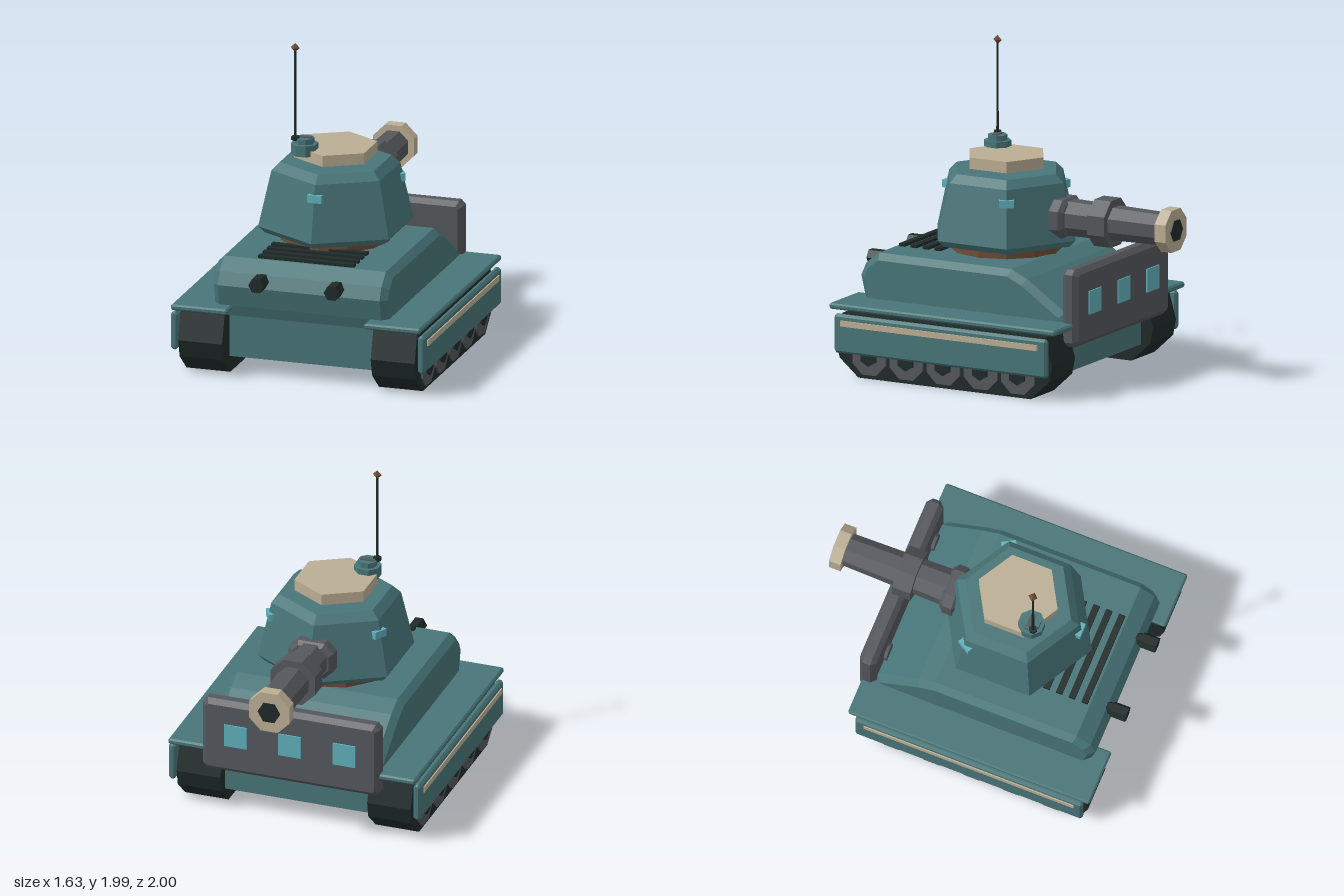
import * as THREE from 'three';

const mat = (name, color) => Object.assign(new THREE.MeshStandardMaterial({ color, flatShading: true }), { name });

export function createModel() {
  const teal = mat('teal armour', 0x487578);
  const gray = mat('gunmetal', 0x54575c);
  const dark = mat('dark rubber', 0x1f2a29);
  const cream = mat('cream trim', 0xbcae94);
  const brown = mat('brown', 0x6e4c37);
  const cyan = mat('cyan glass', 0x5fb0ba);
  const model = new THREE.Group();
  model.name = 'tank';

  const add = (name, geo, material, x = 0, y = 0, z = 0) => {
    const m = new THREE.Mesh(geo, material);
    m.name = name;
    m.position.set(x, y, z);
    model.add(m);
    return m;
  };
  const box = (w, h, d) => new THREE.BoxGeometry(w, h, d);

  // Side profile of [z, y] points, extruded across x with one chamfer
  const sideExtrude = (pts, width, bevel) => {
    const g = new THREE.ExtrudeGeometry(new THREE.Shape(pts.map(p => new THREE.Vector2(...p))), {
      depth: width - 2 * bevel, bevelEnabled: bevel > 0, bevelSegments: 1,
      bevelSize: bevel, bevelThickness: bevel, bevelOffset: -bevel,
    });
    return g.translate(0, 0, -width / 2 + bevel).rotateY(-Math.PI / 2);
  };
  // Box with chamfered edges: corner cut c in the front outline, bevel b on the faces
  const chamferBox = (w, h, d, c, b) => {
    const x = w / 2, y = h / 2;
    const pts = [[-x + c, -y], [x - c, -y], [x, -y + c], [x, y - c], [x - c, y], [-x + c, y], [-x, y - c], [-x, -y + c]];
    return new THREE.ExtrudeGeometry(new THREE.Shape(pts.map(p => new THREE.Vector2(...p))), {
      depth: d - 2 * b, bevelSegments: 1, bevelSize: b, bevelThickness: b, bevelOffset: -b,
    }).translate(0, 0, -d / 2 + b);
  };
  // Prism with sides turned by "turn", then laid along x, y or z (top end toward -z)
  const prism = (rTop, rBottom, h, sides, turn, axis = 'y') => {
    const g = new THREE.CylinderGeometry(rTop, rBottom, h, sides).rotateY(turn);
    if (axis === 'x') g.rotateZ(Math.PI / 2);
    if (axis === 'z') g.rotateX(-Math.PI / 2);
    return g;
  };
  const OCT = Math.PI / 8, HEX = Math.PI / 6, K = 1 / Math.cos(OCT);

  // Hull
  add('lowerHull', box(0.94, 0.29, 1.3), teal, 0, 0.255, 0.17);
  add('upperHull', sideExtrude([
    [0.85, 0.38], [0.875, 0.45], [0.905, 0.58], [0.87, 0.66], [0.78, 0.73],
    [-0.14, 0.73], [-0.25, 0.68], [-0.52, 0.5], [-0.545, 0.45], [-0.53, 0.38],
  ], 1.11, 0.04), teal);

  // Running gear, mirrored
  const trackProfile = [
    [0.79, 0], [0.92, 0.11], [0.95, 0.22], [0.9, 0.39],
    [-0.51, 0.39], [-0.56, 0.22], [-0.54, 0.12], [-0.41, 0],
  ].reverse();
  for (const s of [1, -1]) {
    add('track', sideExtrude(trackProfile, 0.28, 0), dark, s * 0.613);
    add('fender', chamferBox(0.36, 0.036, 1.575, 0.01, 0.01), teal, s * 0.615, 0.432, 0.187);
    add('sideSkirt', chamferBox(0.045, 0.24, 1.48, 0.015, 0.012), teal, s * 0.787, 0.27, 0.19);
    add('skirtStripe', box(0.009, 0.036, 1.37), cream, s * 0.813, 0.337, 0.195);
    for (let i = 0; i < 5; i++) {
      const z = 0.71 - i * 0.259;
      add('roadWheel', prism(0.125, 0.125, 0.05, 8, OCT, 'x'), gray, s * 0.74, 0.14, z);
      add('wheelHub', prism(0.06, 0.06, 0.03, 6, HEX, 'x'), dark, s * 0.762, 0.14, z);
    }
    // Exhausts
    add('exhaustNeck', prism(0.04, 0.04, 0.06, 6, HEX, 'z'), dark, s * 0.24, 0.63, 0.89);
    add('exhaustPipe', prism(0.05, 0.05, 0.1, 6, HEX, 'z'), dark, s * 0.24, 0.63, 0.95);
    // Bolts on the inner face of the shield plate
    add('plateBolt', prism(0.055, 0.055, 0.03, 8, OCT, 'z'), gray, s * 0.38, 0.55, -0.51);
  }

  // Engine grille
  for (let i = 0; i < 4; i++)
    add('grilleBar', box(0.61, 0.03, 0.04), dark, 0, 0.733, 0.745 - i * 0.083);

  // Shield plate behind the hull, with glass panels
  add('shieldPlate', chamferBox(1.14, 0.48, 0.11, 0.03, 0.03), gray, 0, 0.54, -0.57);
  for (const x of [-0.35, 0, 0.35])
    add('shieldWindow', box(0.145, 0.145, 0.009), cyan, x, 0.557, -0.629);

  // Turret
  const Z = 0.19;
  add('turretRing', prism(0.342, 0.342, 0.08, 12, 0), brown, 0, 0.75, Z);
  const turretProfile = [[0, 0.78], [0.44, 0.78], [0.48, 0.82], [0.398, 1.17], [0.345, 1.22], [0, 1.22]];
  add('turret', new THREE.LatheGeometry(turretProfile.map(p => new THREE.Vector2(...p)), 6), teal, 0, 0, Z);
  add('roofPlate', prism(0.257, 0.257, 0.07, 6, 0), cream, 0, 1.278, Z);
  for (let i = 0; i < 3; i++) {
    const a = i * Math.PI * 2 / 3;
    const lens = add('turretLens', box(0.09, 0.048, 0.04), cyan, Math.sin(a) * 0.402, 1.086, Z + Math.cos(a) * 0.402);
    lens.rotation.y = a;
  }

  // Cupola and antenna
  add('cupola', prism(0.083, 0.083, 0.07, 8, OCT), teal, -0.15, 1.315, 0.337);
  add('cupolaCap', prism(0.06, 0.06, 0.035, 8, OCT), teal, -0.15, 1.366, 0.337);
  add('cupolaSlit', box(0.09, 0.008, 0.032), gray, -0.15, 1.385, 0.335);
  add('antennaBase', prism(0.026, 0.026, 0.022, 6, 0), dark, -0.2, 1.383, 0.367);
  add('antennaMast', prism(0.007, 0.009, 0.57, 6, 0), dark, -0.2, 1.67, 0.367);
  add('antennaTip', new THREE.OctahedronGeometry(0.029), brown, -0.2, 1.957, 0.367);

  // Gun
  const Y = 0.965;
  add('mantlet', chamferBox(0.29, 0.235, 0.11, 0.06, 0.025), gray, 0, Y, -0.22);
  add('barrel', prism(0.094 * K, 0.108 * K, 0.75, 8, OCT, 'z'), gray, 0, Y, -0.56);
  add('barrelCollar', prism(0.144 * K, 0.144 * K, 0.118, 8, OCT, 'z'), gray, 0, Y, -0.515);
  add('muzzle', prism(0.13 * K, 0.13 * K, 0.075, 8, OCT, 'z'), cream, 0, Y, -0.955);
  add('bore', prism(0.072, 0.072, 0.02, 6, HEX, 'z'), dark, 0, Y, -0.99);

  return model;
}
